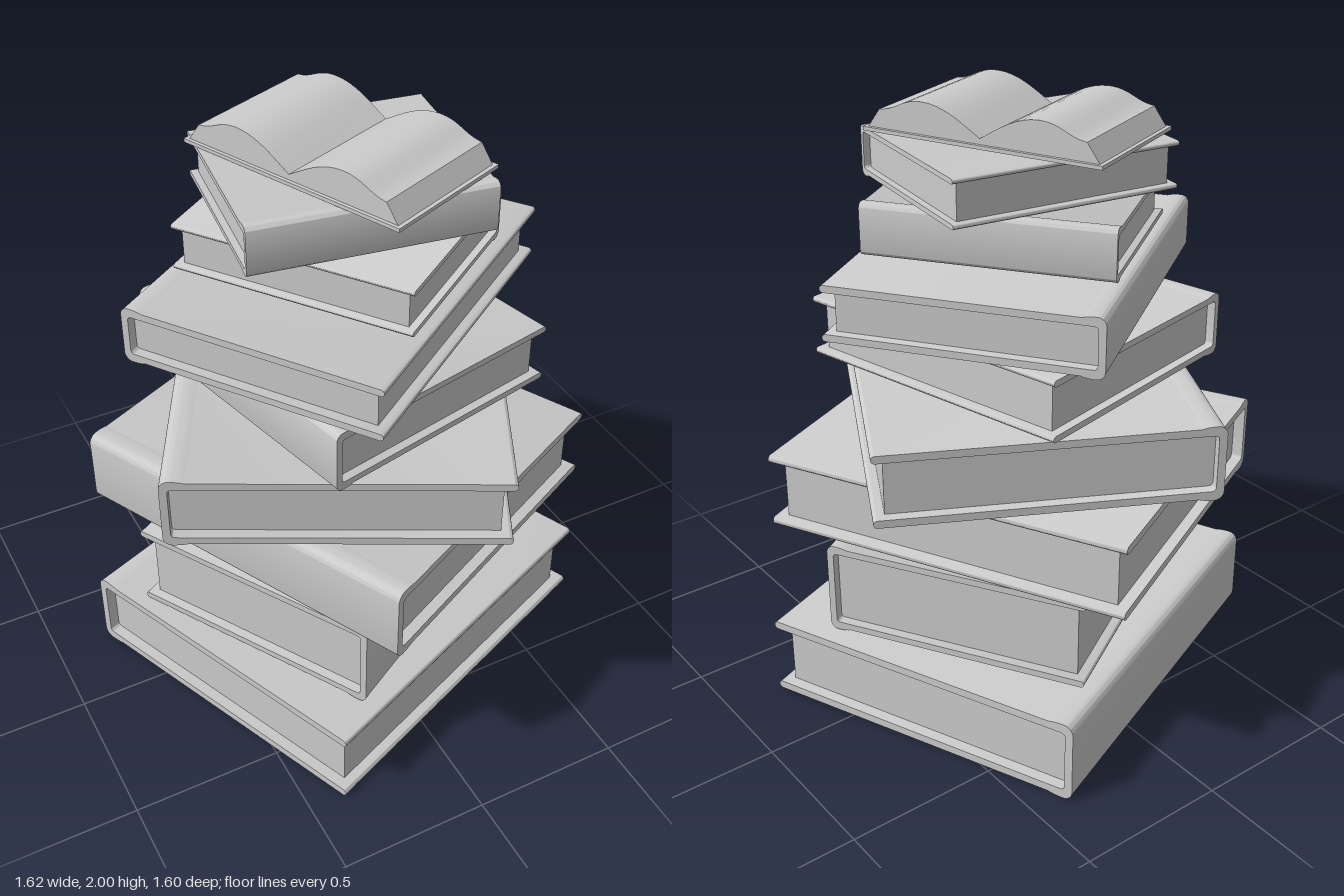
import * as THREE from 'three';
import { toCreasedNormals } from 'three/addons/utils/BufferGeometryUtils.js';

const material = new THREE.MeshStandardMaterial({ color: 0xcccccc });

// Closed books, bottom to top: bottom y, top y, width, spine length, turn (degrees), x, z
const books = [
  [0.0, 0.283, 1.135, 1.287, -67.6, 0, 0],
  [0.287, 0.607, 0.89, 1.082, 120.2, -0.007, 0.007],
  [0.611, 0.878, 1.096, 1.25, 26, -0.003, 0],
  [0.884, 1.136, 1.062, 1.208, -27.8, 0, -0.003],
  [1.141, 1.352, 0.855, 0.985, 12.7, 0, 0],
  [1.356, 1.547, 0.864, 1.108, -55.2, -0.002, -0.004],
  [1.551, 1.718, 0.638, 0.796, -144.7, 0, -0.002],
  [1.724, 1.886, 0.624, 0.763, 81.7, 0.002, -0.005],
];

// Extrude a profile along z, centred, with smooth curves and sharp edges
function extrude(shape, depth) {
  const geo = new THREE.ExtrudeGeometry(shape, { depth, bevelEnabled: false, curveSegments: 8 });
  geo.translate(0, 0, -depth / 2);
  return toCreasedNormals(geo, 0.6);
}

function addMesh(group, name, geo) {
  const mesh = new THREE.Mesh(geo, material);
  mesh.name = name;
  group.add(mesh);
  return mesh;
}

// C-shaped case: two boards with round edges and a slightly taller spine at -x
function caseShape(w, h, t) {
  const g = 0.006, r = t * 1.2, a = w / 2, b = h / 2, q = t / 2;
  const s = new THREE.Shape();
  s.moveTo(-a + r, -b);
  s.quadraticCurveTo(-a + r * 2, -b, -a + r * 2.6, -b + g);
  s.lineTo(a - q, -b + g);
  s.absarc(a - q, -b + g + q, q, -Math.PI / 2, Math.PI / 2, false);
  s.lineTo(-a + t * 1.6, -b + g + t);
  s.quadraticCurveTo(-a + t, -b + g + t, -a + t, -b + g + t * 1.6);
  s.lineTo(-a + t, b - g - t * 1.6);
  s.quadraticCurveTo(-a + t, b - g - t, -a + t * 1.6, b - g - t);
  s.lineTo(a - q, b - g - t);
  s.absarc(a - q, b - g - q, q, -Math.PI / 2, Math.PI / 2, false);
  s.lineTo(-a + r * 2.6, b - g);
  s.quadraticCurveTo(-a + r * 2, b, -a + r, b);
  s.absarc(-a + r, b - r, r, Math.PI / 2, Math.PI, false);
  s.lineTo(-a, -b + r);
  s.absarc(-a + r, -b + r, r, Math.PI, Math.PI * 1.5, false);
  return s;
}

function closedBook([y0, y1, w, len, turn, x, z], i) {
  const book = new THREE.Group();
  const h = y1 - y0, t = 0.021 * len, inset = 0.03 * len;
  book.name = `closedBook${i + 1}`;
  addMesh(book, 'cover', extrude(caseShape(w, h, t), len));
  // Page block, set back from the three open edges
  const pageW = w - t - inset;
  const pages = addMesh(book, 'pages',
    new THREE.BoxGeometry(pageW, h - 2 * t - 0.01, len - 2 * inset));
  pages.position.x = (t - inset) / 2;
  book.position.set(x, (y0 + y1) / 2, z);
  book.rotation.y = THREE.MathUtils.degToRad(turn);
  return book;
}

// Open book lying flat: thin cover and two arched halves of pages
function openBook() {
  const book = new THREE.Group();
  book.name = 'openBook';
  const cover = addMesh(book, 'openCover', new THREE.BoxGeometry(0.814, 0.012, 0.468));
  cover.position.y = 0.006;
  const s = new THREE.Shape();
  s.moveTo(-0.395, 0.01);
  s.lineTo(0.395, 0.01);
  s.lineTo(0.352, 0.07);
  s.bezierCurveTo(0.29, 0.075, 0.27, 0.112, 0.2, 0.112);
  s.bezierCurveTo(0.12, 0.112, 0.06, 0.065, 0, 0.03);
  s.bezierCurveTo(-0.06, 0.065, -0.12, 0.112, -0.2, 0.112);
  s.bezierCurveTo(-0.27, 0.112, -0.29, 0.075, -0.352, 0.07);
  s.closePath();
  addMesh(book, 'openPages', extrude(s, 0.445));
  book.position.set(0, 1.888, -0.003);
  book.rotation.y = THREE.MathUtils.degToRad(-67.3);
  return book;
}

export function createModel() {
  const model = new THREE.Group();
  model.name = 'bookStack';
  books.forEach((b, i) => model.add(closedBook(b, i)));
  model.add(openBook());
  return model;
}
